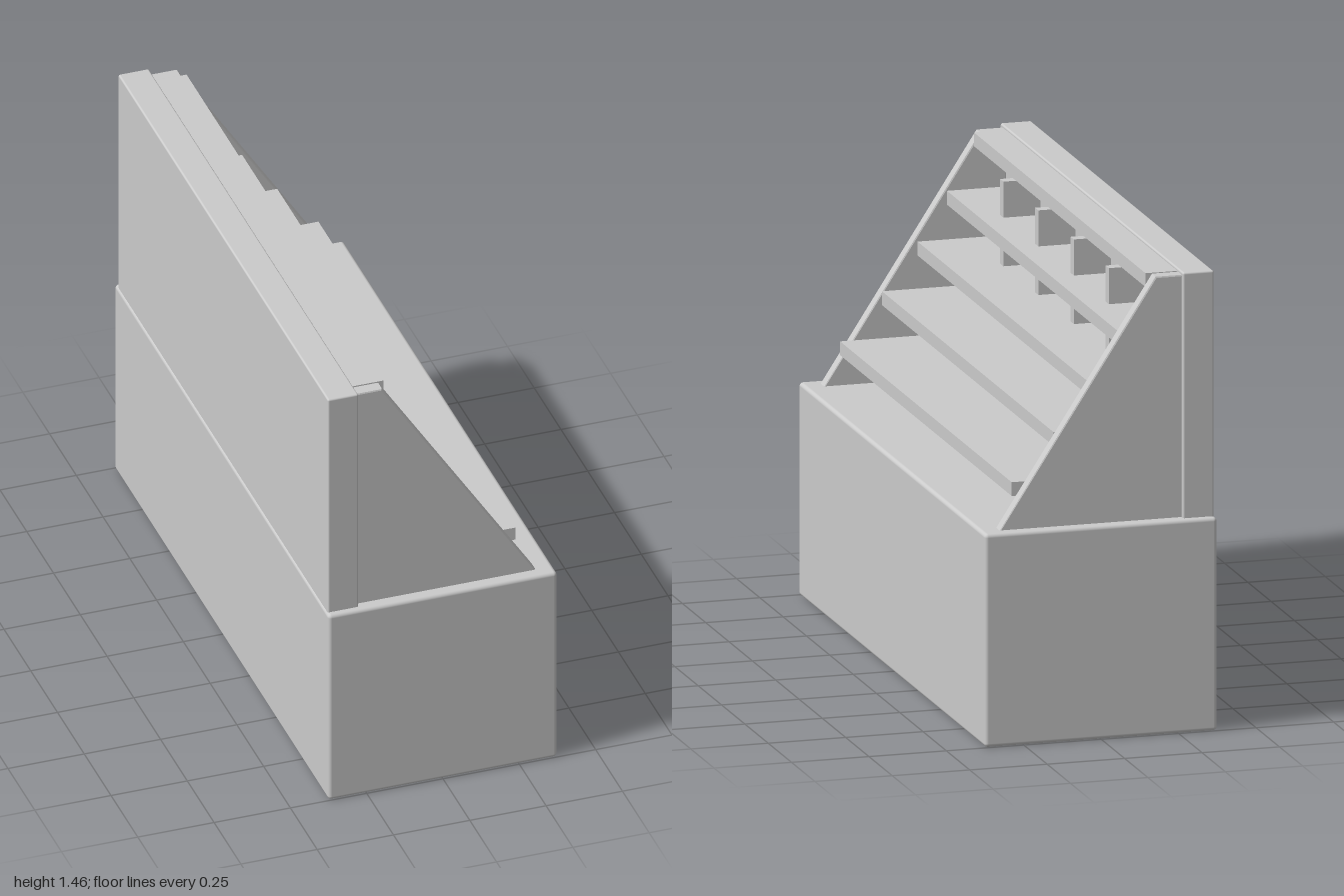
import * as THREE from 'three';
import { RoundedBoxGeometry } from 'three/addons/geometries/RoundedBoxGeometry.js';

export function createModel() {
  const group = new THREE.Group();
  const material = new THREE.MeshStandardMaterial({ color: 0xcccccc });

  const add = (name, geometry) => {
    const mesh = new THREE.Mesh(geometry, material);
    mesh.name = name;
    group.add(mesh);
    return mesh;
  };

  // Box given by its extents; a radius rounds the edges
  const box = (name, [x0, x1], [y0, y1], [z0, z1], radius = 0) => {
    const size = [x1 - x0, y1 - y0, z1 - z0];
    const geometry = radius
      ? new RoundedBoxGeometry(...size, 3, radius)
      : new THREE.BoxGeometry(...size);
    add(name, geometry).position.set((x0 + x1) / 2, (y0 + y1) / 2, (z0 + z1) / 2);
  };

  const backX = -0.27;

  // Base cabinet and upright back board
  box('baseCabinet', [-0.375, 0.375], [0, 0.68], [-1, 1], 0.012);
  box('backBoard', [-0.37, backX], [0.67, 1.463], [-0.98, 0.98], 0.006);

  // Sloping side panels with softly rounded edges
  const bevel = 0.006;
  const profile = new THREE.Shape([
    new THREE.Vector2(backX, 0.67),
    new THREE.Vector2(0.319, 0.67),
    new THREE.Vector2(-0.189, 1.449),
    new THREE.Vector2(backX, 1.449),
  ]);
  const panel = new THREE.ExtrudeGeometry(profile, {
    depth: 0.042 - 2 * bevel,
    bevelEnabled: true,
    bevelThickness: bevel,
    bevelSize: bevel,
    bevelOffset: -0.001,
    bevelSegments: 2,
  });
  panel.translate(0, 0, bevel - 0.021);
  for (const side of [1, -1]) {
    add(side > 0 ? 'frontSidePanel' : 'rearSidePanel', panel).position.z = side * 0.941;
  }

  // Stepped shelves: top height and front edge
  const shelves = [[0.82, 0.265], [0.97, 0.13], [1.12, 0.015], [1.275, -0.08], [1.455, -0.167]];
  shelves.forEach(([top, front], i) => {
    box(`shelf${i + 1}`, [backX, front], [top - 0.044, top], [-0.92, 0.92]);
  });

  // Upright supports behind the shelves
  [-0.565, -0.19, 0.19, 0.565].forEach((z, i) => {
    box(`shelfSupport${i + 1}`, [backX, -0.15], [0.67, 1.39], [z - 0.0175, z + 0.0175]);
  });

  return group;
}
